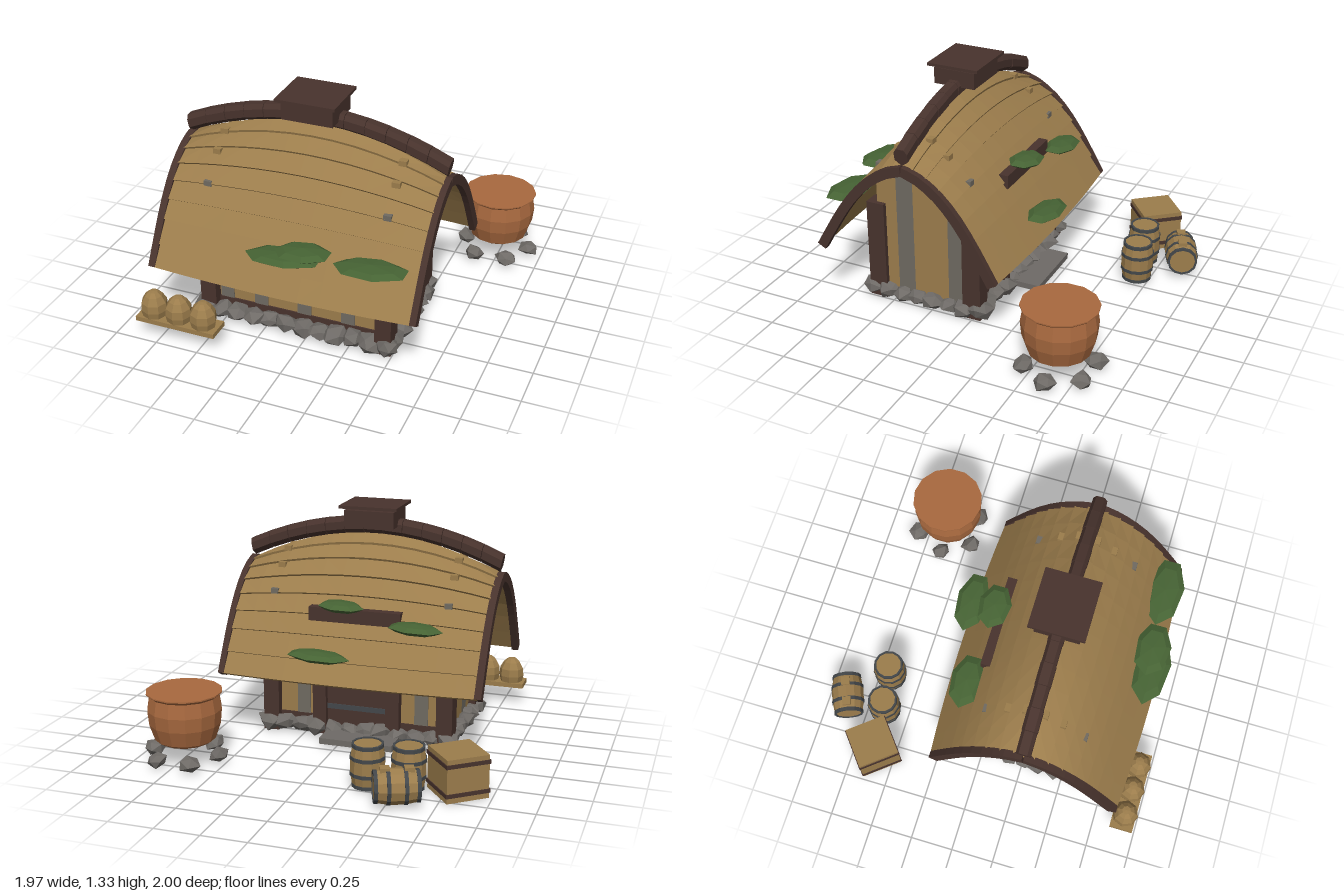
import * as THREE from 'three';

const mat = (name, color) => {
  const m = new THREE.MeshStandardMaterial({ color, flatShading: true });
  m.name = name;
  return m;
};
const wood = mat('tan wood', 0x9c7d4c), dark = mat('dark wood', 0x48332d), stone = mat('stone', 0x6e6a66),
  clay = mat('clay', 0xa8693f), moss = mat('moss', 0x466334), iron = mat('iron', 0x43474a),
  plaster = mat('grey board', 0x6f6a61);

const ZC = 0.305, XC = -0.07;
let seed = 7;
const rnd = () => (seed = (seed * 16807) % 2147483647) / 2147483647;

export function createModel() {
  const root = new THREE.Group();
  const add = (name, geo, material, x = 0, y = 0, z = 0, parent = root) => {
    const m = new THREE.Mesh(geo, material);
    m.name = name;
    m.position.set(x, y, z);
    parent.add(m);
    return m;
  };
  // box given by its limits
  const box = (name, material, x0, x1, y0, y1, z0, z1, parent) =>
    add(name, new THREE.BoxGeometry(x1 - x0, y1 - y0, z1 - z0), material, (x0 + x1) / 2, (y0 + y1) / 2, (z0 + z1) / 2, parent);

  // capped skin over equal closed sections, always facing outward
  const loft = (sections) => {
    const n = sections[0].length, tris = [], last = sections.length - 1;
    for (let i = 0; i < last; i++) for (let j = 0; j < n; j++) {
      const k = (j + 1) % n, a = sections[i], b = sections[i + 1];
      tris.push([a[j], a[k], b[k]], [a[j], b[k], b[j]]);
    }
    for (let j = 1; j < n - 1; j++) {
      tris.push([sections[0][0], sections[0][j + 1], sections[0][j]]);
      tris.push([sections[last][0], sections[last][j], sections[last][j + 1]]);
    }
    const v = (p) => new THREE.Vector3(...p);
    const vol = tris.reduce((s, t) => s + v(t[0]).dot(v(t[1]).cross(v(t[2]))), 0);
    if (vol < 0) tris.forEach((t) => t.reverse());
    const g = new THREE.BufferGeometry();
    g.setAttribute('position', new THREE.Float32BufferAttribute(tris.flat(2), 3));
    g.computeVertexNormals();
    return g;
  };

  // roof surface: t runs from eave to ridge, off is the distance outward
  const curve = new THREE.SplineCurve([[0.54, 0.4], [0.43, 0.59], [0.33, 0.74], [0.22, 0.86], [0.1, 0.94], [0, 0.97]]
    .map((p) => new THREE.Vector2(...p)));
  const bulge = (x) => 1 - ((x - XC) / 0.76) ** 2;
  const roofPoint = (t, x, off, side) => {
    const p = curve.getPoint(t), d = curve.getTangent(t), b = bulge(x);
    const dist = Math.max(0, p.x + 0.03 * b * (1 - t) + d.y * off);
    return [x, p.y + 0.2 * b * t * t - d.x * off, ZC + side * dist];
  };
  const roofHeight = (d, x) => {
    let t = 0;
    while (t < 1 && roofPoint(t, x, -0.02, 1)[2] - ZC > d) t += 0.01;
    return roofPoint(Math.min(t, 1), x, -0.02, 1)[1];
  };

  // overlapping roof boards, end trims and pegs
  const roof = new THREE.Group();
  roof.name = 'roof';
  root.add(roof);
  const ROWS = 8, xs = Array.from({ length: 13 }, (_, i) => -0.82 + (1.49 * i) / 12);
  for (const side of [1, -1]) {
    for (let r = 0; r < ROWS; r++) {
      const t0 = r / ROWS, t1 = (r + 1) / ROWS;
      add('roofBoard', loft(xs.map((x) => [
        roofPoint(t0, x, -0.02, side), roofPoint(t0, x, 0.014, side),
        roofPoint(t1, x, 0.0, side), roofPoint(t1, x, -0.02, side)])), wood, 0, 0, 0, roof);
    }
    for (const [x0, x1] of [[-0.845, -0.805], [0.665, 0.7]]) {
      const rings = Array.from({ length: 11 }, (_, i) => {
        const at = (x, off) => {
          const p = roofPoint(i / 10, x < 0 ? -0.82 : 0.68, off, side);
          return [x, p[1], p[2]];
        };
        return [at(x0, -0.04), at(x1, -0.04), at(x1, 0.016), at(x0, 0.016)];
      });
      add('gableTrim', loft(rings), dark, 0, 0, 0, roof);
    }
    for (const x of [-0.59, 0.445]) for (const d of [0.05, 0.15, 0.275])
      add('roofPeg', new THREE.BoxGeometry(0.045, 0.03, 0.04), d > 0.2 ? plaster : wood,
        x, roofHeight(d, x) + 0.03, ZC + side * d, roof);
  }

  // ridge beam in short blocks along the arch
  const ridgeSection = (x, s) => {
    const y = 0.99 + 0.18 * bulge(x), lean = (x - XC) * 0.05;
    return [[0, -0.005], [0.043, 0.025], [0.043, 0.07], [0.025, 0.095], [-0.025, 0.095], [-0.043, 0.07], [-0.043, 0.025]]
      .map(([z, h]) => [x + lean * h * 5, y + h, ZC + z * s]);
  };
  const step = 1.5 / 13;
  for (let i = 0; i < 13; i++) {
    const x = -0.82 + i * step, s = i % 2 ? 1 : 0.94;
    add('ridgeBlock', loft([ridgeSection(x, s), ridgeSection(x + step - 0.003, s)]), dark, 0, 0, 0, roof);
  }

  // smoke vent
  box('ventBox', dark, -0.22, 0.076, 1.22, 1.315, 0.18, 0.43);
  box('ventNeck', dark, -0.16, 0.016, 1.31, 1.33, 0.24, 0.37);
  box('ventLid', dark, -0.245, 0.1, 1.328, 1.345, 0.15, 0.46);

  // gable walls in vertical boards cut to the roof
  const boards = [[0.6, 0.475, wood], [0.475, 0.37, plaster], [0.37, 0.155, wood], [0.155, 0.06, plaster], [0.06, 0.01, wood]];
  for (const x of [-0.6, 0.44]) for (const [a, b, m] of boards) {
    const section = (px) => {
      const ring = [[px, 0.08, b], [px, 0.08, a]];
      for (let i = 0; i <= 6; i++) {
        const z = a + ((b - a) * i) / 6;
        ring.push([px, roofHeight(Math.abs(z - ZC), x), z]);
      }
      return ring;
    };
    add('gableWall', loft([section(x), section(x + 0.03)]), m);
  }

  // long walls, sills and grey boards
  for (const [z, out] of [[0.585, 1], [0.01, -1]]) {
    box('longWall', wood, -0.59, 0.46, 0.08, 0.68, z - 0.012, z + 0.012);
    box('sill', dark, -0.59, 0.46, 0.04, 0.13, z - 0.02, z + 0.02);
    const stripes = out > 0 ? [-0.5, -0.29, -0.03, 0.23] : [-0.45, 0.26];
    for (const x of stripes)
      box('greyBoard', plaster, x - 0.04, x + 0.04, 0.13, 0.67, z + out * 0.015 - 0.004, z + out * 0.015 + 0.004);
  }
  // corner posts
  for (const x of [-0.595, 0.45]) for (const z of [0.6, 0.002])
    box('cornerPost', dark, x - 0.047, x + 0.047, 0.02, 0.62, z - 0.055, z + 0.055);

  // back door with frame, hood and step
  box('door', dark, -0.27, 0.13, 0.07, 0.52, -0.02, 0.0);
  for (const x of [-0.29, 0.15]) box('doorPost', dark, x - 0.04, x + 0.04, 0.03, 0.58, -0.055, 0.02);
  box('doorLintel', dark, -0.33, 0.19, 0.5, 0.57, -0.05, 0.01);
  for (const y of [0.18, 0.4]) box('doorStrap', iron, -0.25, 0.11, y, y + 0.03, -0.026, -0.018);
  box('doorHood', dark, -0.34, 0.2, 0.72, 0.8, -0.085, -0.03);
  box('doorStep', stone, -0.34, 0.09, 0.035, 0.07, -0.23, -0.06);

  // irregular rock: shared corners move together
  const rock = (r, rough) => {
    const g = new THREE.IcosahedronGeometry(r, 0), p = g.attributes.position, seen = {};
    for (let i = 0; i < p.count; i++) {
      const key = [p.getX(i), p.getY(i), p.getZ(i)].map((c) => Math.round(c * 1e4)).join();
      const k = (seen[key] ??= 1 - rough / 2 + rough * rnd());
      p.setXYZ(i, p.getX(i) * k, p.getY(i) * k, p.getZ(i) * k);
    }
    g.computeVertexNormals();
    return g;
  };
  const addRock = (name, x, z, r, y) => {
    const m = add(name, rock(r, 0.45), stone, x, y, z);
    m.rotation.y = rnd() * 6;
    m.scale.set(1.1, 0.75, 1);
  };
  // foundation ring
  for (let i = 0; i <= 11; i++) for (const z of [0.635, -0.035])
    addRock('foundationStone', -0.62 + i * 0.099, z + (rnd() - 0.5) * 0.02, 0.06 + rnd() * 0.016, 0.062 + rnd() * 0.015);
  for (let i = 1; i <= 6; i++) for (const x of [-0.615, 0.475])
    addRock('foundationStone', x, -0.035 + i * 0.096, 0.06 + rnd() * 0.012, 0.065);

  // moss pads: x, y, z, half width, half depth
  const pads = [[-0.04, 0.64, 0.835, 0.22, 0.105], [0.06, 0.675, 0.81, 0.16, 0.105], [0.43, 0.648, 0.79, 0.21, 0.11],
    [0.08, 0.57, -0.27, 0.185, 0.095], [-0.44, 0.737, -0.135, 0.16, 0.095], [0.0, 0.822, -0.105, 0.135, 0.095]];
  for (const [x, y, z, w, d] of pads) {
    const m = add('mossPad', new THREE.SphereGeometry(1, 7, 4), moss, x, y, z);
    m.scale.set(w, 0.03, d);
    m.rotation.z = 0.05;
  }

  // big pot on a ring of stones
  const lathe = (pts, n) => new THREE.LatheGeometry(pts.map((p) => new THREE.Vector2(...p)), n);
  add('pot', lathe([[0, 0.13], [0.14, 0.13], [0.17, 0.15], [0.2, 0.24], [0.208, 0.32], [0.195, 0.4], [0.212, 0.415], [0.212, 0.422], [0, 0.422]], 14),
    clay, 0.73, 0, -0.635);
  for (let i = 0; i < 6; i++) {
    const a = (i * Math.PI) / 3;
    addRock('potStone', 0.73 + 0.195 * Math.cos(a), -0.635 + 0.195 * Math.sin(a), 0.058, 0.065);
  }

  // barrels
  const barrel = () => {
    const g = new THREE.Group();
    g.name = 'barrel';
    add('staves', lathe([[0, -0.115], [0.082, -0.115], [0.095, -0.04], [0.095, 0.04], [0.082, 0.115], [0, 0.115]], 12), wood, 0, 0, 0, g);
    for (const [y, r] of [[-0.11, 0.087], [-0.045, 0.097], [0.045, 0.097], [0.11, 0.087]])
      add('hoop', lathe([[r - 0.012, -0.01], [r, -0.01], [r, 0.01], [r - 0.012, 0.01], [r - 0.012, -0.01]], 12), iron, 0, y, 0, g);
    root.add(g);
    return g;
  };
  barrel().position.set(-0.555, 0.14, -0.64);
  barrel().position.set(-0.34, 0.14, -0.675);
  const lying = barrel();
  lying.position.set(-0.555, 0.125, -0.875);
  lying.rotation.set(0, 0.39, Math.PI / 2);
  for (const y of [-0.06, 0.065]) add('bung', new THREE.BoxGeometry(0.03, 0.05, 0.05), wood, 0.09, y, 0, lying);

  // crate
  const crate = new THREE.Group();
  crate.name = 'crate';
  crate.position.set(-0.815, 0, -0.62);
  crate.rotation.y = 0.68;
  root.add(crate);
  box('crateBody', wood, -0.12, 0.12, 0.02, 0.258, -0.12, 0.12, crate);
  for (const y of [0.05, 0.21]) box('crateBand', dark, -0.125, 0.125, y, y + 0.022, -0.125, 0.125, crate);

  // beehives on a shelf
  box('hiveShelf', wood, -0.875, -0.4, 0.12, 0.148, 0.85, 0.985);
  for (const x of [-0.79, -0.64, -0.49])
    add('beehive', lathe([[0, 0], [0.068, 0], [0.076, 0.04], [0.072, 0.085], [0.05, 0.125], [0.025, 0.147], [0, 0.15]], 8), wood, x, 0.146, 0.918);

  return root;
}
